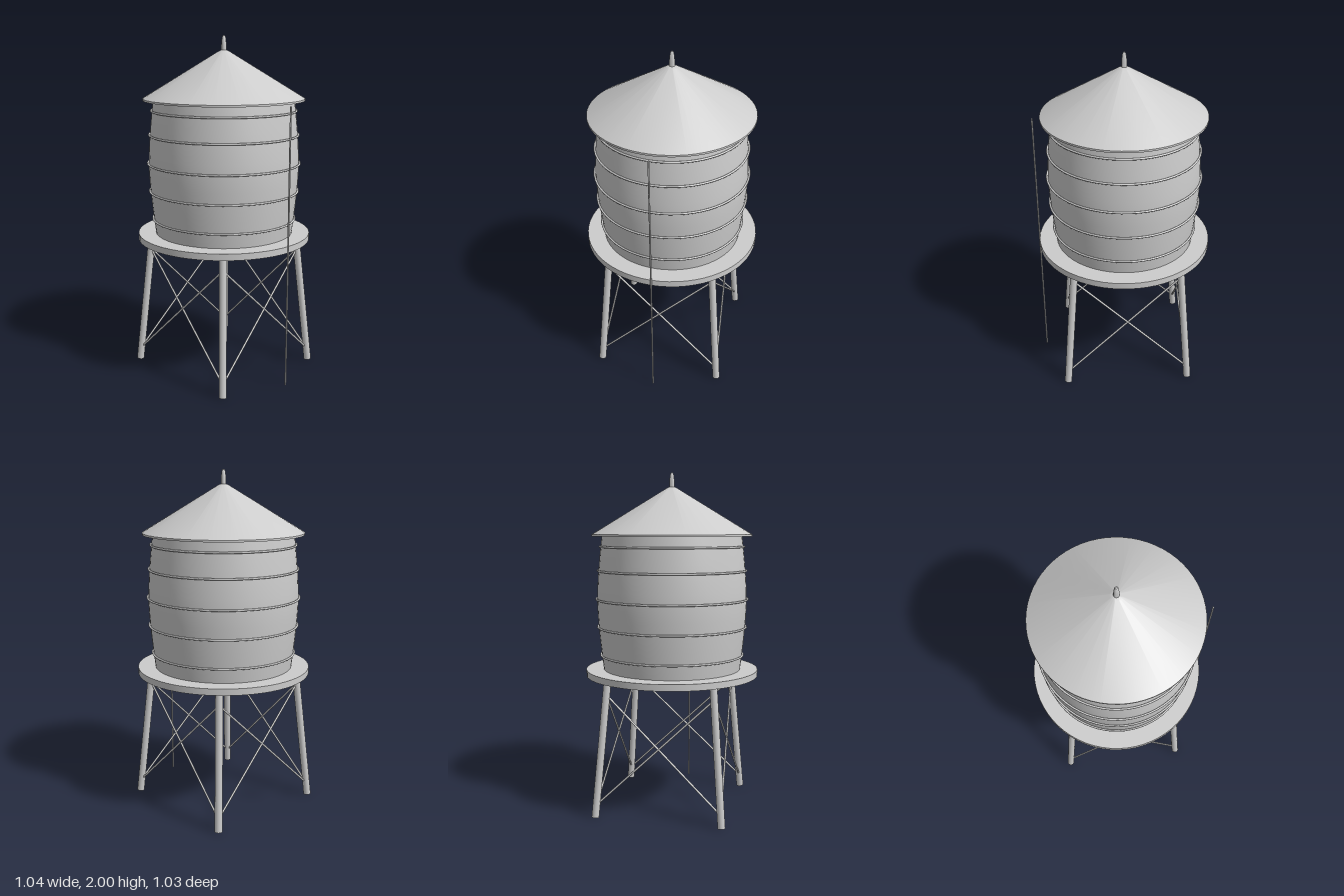
import * as THREE from 'three';
import { toCreasedNormals } from 'three/addons/utils/BufferGeometryUtils.js';

export function createModel() {
  const model = new THREE.Group();
  model.name = 'waterTower';
  const tower = new THREE.Group();
  tower.name = 'tower';
  tower.position.x = -0.004;
  model.add(tower);

  const grey = new THREE.MeshStandardMaterial({ color: 0xcccccc });
  grey.name = 'paintedGrey';

  function add(name, geometry) {
    const mesh = new THREE.Mesh(geometry, grey);
    mesh.name = name;
    tower.add(mesh);
    return mesh;
  }
  // Turned solid from [radius, height] pairs, listed bottom to top
  function turned(name, profile, sides) {
    const points = profile.map(([r, y]) => new THREE.Vector2(r, y));
    return add(name, toCreasedNormals(new THREE.LatheGeometry(points, sides), 0.5));
  }
  // Round bar between two points
  function bar(name, a, b, radius, sides) {
    const dir = b.clone().sub(a);
    const mesh = add(name, new THREE.CylinderGeometry(radius, radius, dir.length(), sides));
    mesh.position.copy(a).add(b).multiplyScalar(0.5);
    mesh.quaternion.setFromUnitVectors(new THREE.Vector3(0, 1, 0), dir.normalize());
  }

  // Platform
  turned('platform', [[0, 0.805], [0.515, 0.805], [0.515, 0.843], [0, 0.843]], 64);

  // Barrel-shaped tank
  const tankRadius = (y) => 0.446 - 0.034 * Math.pow(Math.abs(y - 1.25) / 0.4, 1.5);
  const wall = [];
  for (let i = 0; i <= 10; i++) {
    const y = 0.843 + (1.632 - 0.843) * i / 10;
    wall.push([tankRadius(y), y]);
  }
  turned('tank', [[0, 0.843], ...wall, [0, 1.632]], 64);

  // Hoops around the tank
  for (const y of [0.928, 1.096, 1.262, 1.43, 1.57]) {
    const hoop = add('hoop', new THREE.TorusGeometry(tankRadius(y) + 0.005, 0.006, 8, 64));
    hoop.rotation.x = Math.PI / 2;
    hoop.position.y = y;
  }

  // Conical roof with a thin eave, and its finial
  turned('roof', [[0, 1.63], [0.474, 1.63], [0.474, 1.641], [0.034, 1.907], [0.02, 1.914], [0, 1.916]], 64);
  turned('finial', [[0, 1.905], [0.016, 1.905], [0.015, 1.95], [0.011, 1.985], [0.007, 1.996], [0, 2]], 16);

  // Splayed legs; a point on a leg's axis at height y
  const legPoint = (sx, sz, y) => {
    const d = 0.374 - 0.08 * y;
    return new THREE.Vector3(sx * d, y, sz * d);
  };
  const corners = [[1, 1], [1, -1], [-1, -1], [-1, 1]];
  corners.forEach(([sx, sz], i) => {
    bar('leg', legPoint(sx, sz, 0.002), legPoint(sx, sz, 0.815), 0.022, 16);
    // Crossed braces to the next leg
    const [nx, nz] = corners[(i + 1) % 4];
    bar('brace', legPoint(sx, sz, 0.075), legPoint(nx, nz, 0.725), 0.006, 8);
    bar('brace', legPoint(nx, nz, 0.075), legPoint(sx, sz, 0.725), 0.006, 8);
  });

  // Standpipe beside the tank
  bar('standpipe', new THREE.Vector3(0.516, 0, 0), new THREE.Vector3(0.516, 1.625, 0), 0.005, 8);

  return model;
}
